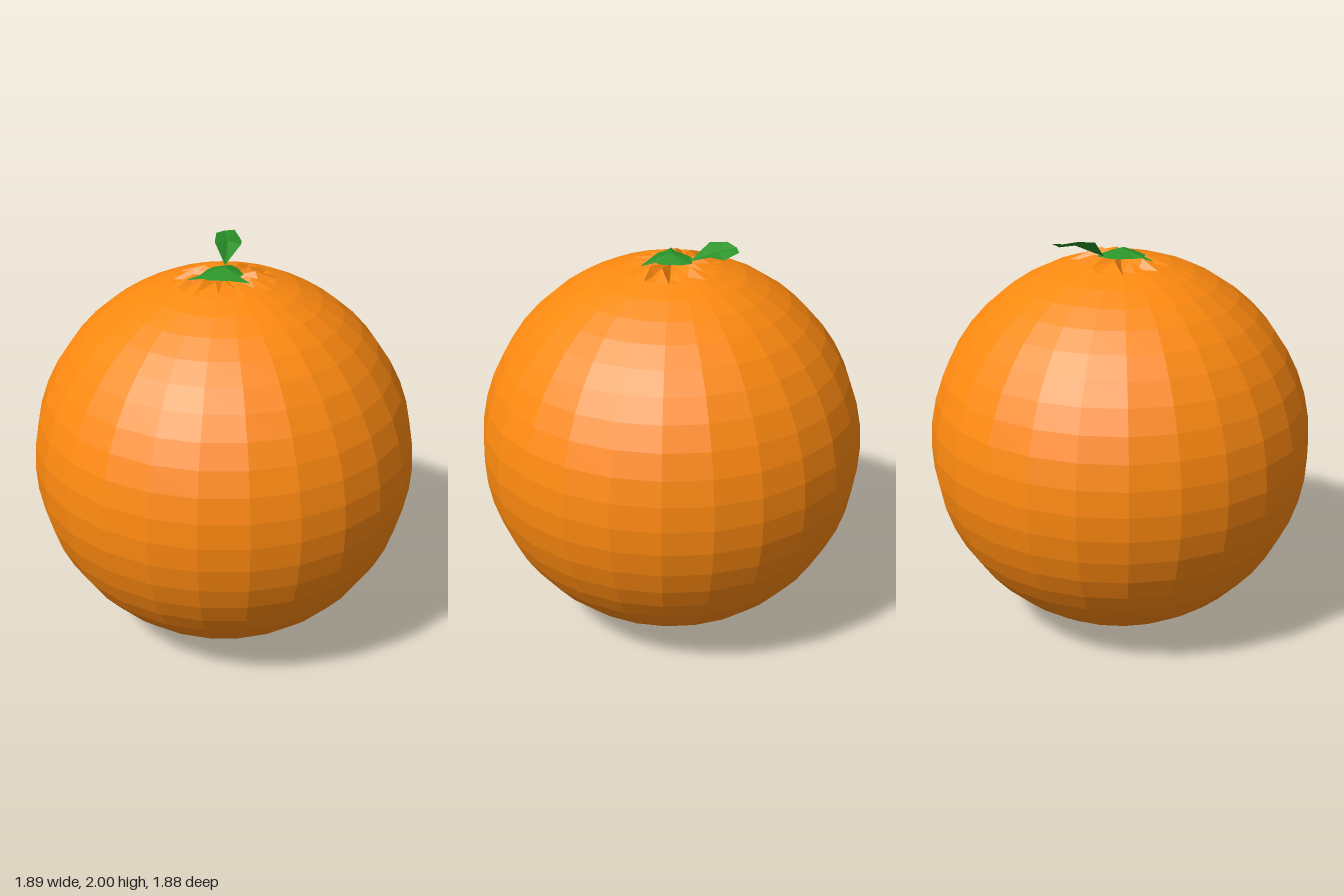
import * as THREE from 'three';

const RADIUS = 0.945;
const SIDES = 25;
const ROWS = 24;

function flatMesh(name, geometry, color, side = THREE.FrontSide) {
  const geo = geometry.toNonIndexed();
  geo.computeVertexNormals();
  const material = new THREE.MeshStandardMaterial({ color, flatShading: true, side });
  const mesh = new THREE.Mesh(geo, material);
  mesh.name = name;
  return mesh;
}

// Faceted surface fanning out from a centre point to a closed outline
function fan(center, outline) {
  const index = [];
  const n = outline.length;
  for (let i = 0; i < n; i++) index.push(0, i + 1, ((i + 1) % n) + 1);
  const geo = new THREE.BufferGeometry();
  geo.setAttribute('position', new THREE.Float32BufferAttribute([center, ...outline].flat(), 3));
  geo.setIndex(index);
  return geo;
}

// Round fruit with a dimpled top and a ring of crumpled folds
function createFruit() {
  const geo = new THREE.SphereGeometry(RADIUS, SIDES, ROWS, Math.PI * 1.5);
  geo.translate(0, RADIUS, 0);
  const pos = geo.attributes.position;
  for (let i = 0; i <= SIDES; i++) {
    pos.setY(i, 1.872);
    const v = SIDES + 1 + i;
    const k = i % SIDES;
    const angle = Math.atan2(pos.getZ(v), pos.getX(v));
    const jitter = Math.sin(k * 2.7);
    const ridge = k % 2 === 1;
    const r = (ridge ? 0.125 : 0.185) + 0.025 * jitter;
    const y = (ridge ? 1.893 : 1.862) + 0.008 * jitter;
    pos.setXYZ(v, r * Math.cos(angle), y, r * Math.sin(angle));
  }
  return flatMesh('fruit', geo, 0xff8a10);
}

// Star-shaped cap on top, given as [x, z] corners
function createCalyx() {
  const corners = [
    [-0.19, -0.025], [-0.12, 0.015], [-0.11, 0.045], [-0.03, 0.095], [0.055, 0.155], [0.04, 0.08],
    [0.075, 0.055], [0.09, -0.035], [0.08, -0.085], [0, -0.1], [-0.04, -0.085], [-0.11, -0.035],
  ];
  const outline = corners.map(([x, z]) => [x, Math.hypot(x, z) > 0.15 ? 1.885 : 1.893, z]);
  return flatMesh('calyx', fan([0, 1.926, 0], outline), 0x2b9429, THREE.DoubleSide);
}

// Single thin leaf rising to the back left
function createLeaf() {
  const outline = [
    [0.05, 1.897, -0.08], [0.08, 1.91, -0.1], [0.18, 1.957, -0.155], [0.215, 1.952, -0.215],
    [0.215, 1.985, -0.285], [0.155, 1.99, -0.285], [0.095, 2.0, -0.25], [0.045, 1.985, -0.175],
  ];
  return flatMesh('leaf', fan([0.13, 1.968, -0.2], outline), 0x2b9429, THREE.DoubleSide);
}

export function createModel() {
  const group = new THREE.Group();
  group.name = 'orange';
  group.add(createFruit(), createCalyx(), createLeaf());
  return group;
}
